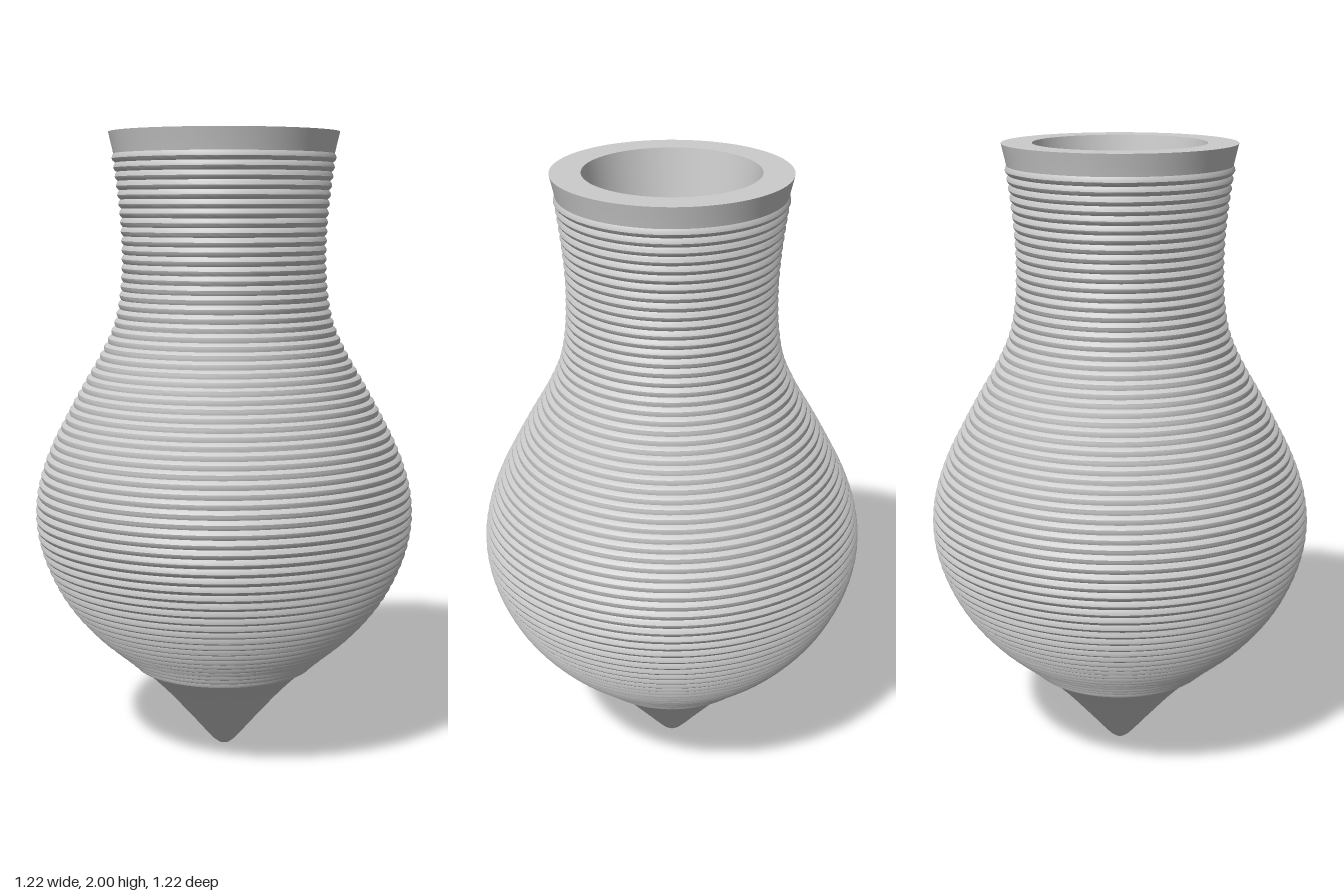
import * as THREE from 'three';
import { toCreasedNormals } from 'three/addons/utils/BufferGeometryUtils.js';

const RIDGES = 64, STEPS = 4, BUMP = 0.008, SIDES = 96;

// Smooth silhouette from base tip to lip: [radius, height]
const outline = [
  [0, 0], [0.03, 0.01], [0.11, 0.1], [0.2, 0.2], [0.305, 0.3], [0.42, 0.4],
  [0.505, 0.5], [0.56, 0.6], [0.593, 0.7], [0.603, 0.8], [0.588, 0.9],
  [0.553, 1.0], [0.503, 1.1], [0.448, 1.2], [0.39, 1.3], [0.345, 1.4],
  [0.325, 1.5], [0.319, 1.6], [0.321, 1.7], [0.33, 1.8], [0.345, 1.91], [0.365, 2],
];

function createProfile() {
  const curve = new THREE.SplineCurve(outline.map(([r, y]) => new THREE.Vector2(r, y)));
  curve.arcLengthDivisions = 1000;
  const start = 0.17, end = 0.97;
  const points = [];

  // Plain pointed foot
  for (let i = 0; i < 20; i++) points.push(curve.getPointAt(start * i / 20));

  // Rounded coils stacked along the wall, pushed out along its normal
  const count = RIDGES * STEPS;
  for (let i = 0; i <= count; i++) {
    const u = start + (end - start) * i / count;
    const p = curve.getPointAt(u), t = curve.getTangentAt(u);
    const bump = BUMP * Math.sin(Math.PI * (i % STEPS) / STEPS);
    points.push(new THREE.Vector2(p.x + t.y * bump, p.y - t.x * bump));
  }

  // Plain lip, flat rim and conical inside
  for (let i = 1; i <= 4; i++) points.push(curve.getPointAt(end + (1 - end) * i / 4));
  points.push(new THREE.Vector2(0.27, 2), new THREE.Vector2(0, 0.03));
  points[0].x = 0;
  return points;
}

export function createModel() {
  const group = new THREE.Group();
  group.name = 'ribbedVase';
  const geometry = toCreasedNormals(new THREE.LatheGeometry(createProfile(), SIDES), 0.6);
  const body = new THREE.Mesh(geometry, new THREE.MeshStandardMaterial({ color: 0xcccccc }));
  body.name = 'vaseBody';
  group.add(body);
  return group;
}
